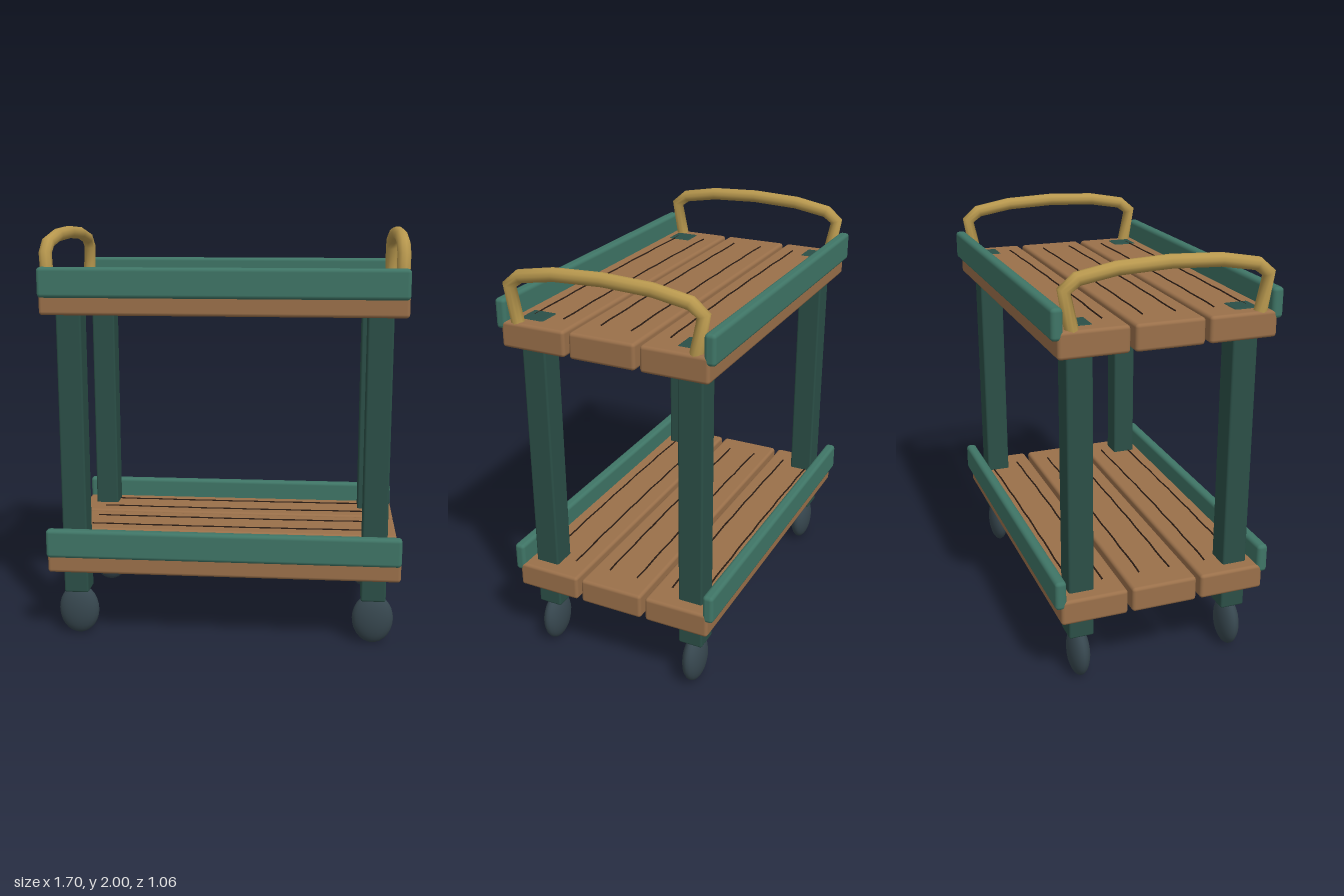
import * as THREE from 'three';
import { RoundedBoxGeometry } from 'three/addons/geometries/RoundedBoxGeometry.js';

const paint = (color) => new THREE.MeshStandardMaterial({ color });
const WOOD = paint(0x9a704a), GRAIN = paint(0x2a1c14), POST = paint(0x2b4f47);
const RAIL = paint(0x3f7566), BRASS = paint(0xb8984e), RUBBER = paint(0x37474f);

function add(parent, name, geometry, material, x = 0, y = 0, z = 0) {
  const mesh = new THREE.Mesh(geometry, material);
  mesh.name = name;
  mesh.position.set(x, y, z);
  parent.add(mesh);
  return mesh;
}

// Tube whose rings sit exactly on the given points
function tubeThrough(points, radius, sides) {
  const curve = new THREE.CatmullRomCurve3(points);
  curve.getPointAt = (t, target) => curve.getPoint(t, target);
  curve.getTangentAt = (t, target) => curve.getTangent(t, target);
  return new THREE.TubeGeometry(curve, points.length - 1, radius, sides);
}

// Thin, slightly wavering wood grain line along x
function grainLine(z, bow) {
  const points = [];
  for (let i = 0; i <= 16; i++) {
    const t = i / 8 - 1;
    const wave = bow * (1 - t * t) + 0.002 * Math.sin(i * 2.1 + z * 20);
    points.push(new THREE.Vector3(t * 0.72, 0, z + wave));
  }
  return tubeThrough(points, 0.0045, 5);
}

// One deck: three planks, their grain and two side rails
function makeShelf(name, bottom) {
  const shelf = new THREE.Group();
  shelf.name = name;
  shelf.position.y = bottom;
  for (const z of [-0.342, 0, 0.342]) {
    add(shelf, 'plank', new RoundedBoxGeometry(1.7, 0.122, 0.32, 2, 0.016), WOOD, 0, 0.061, z);
  }
  for (const side of [-1, 1]) {
    for (const [z, bow] of [[0.075, 0.007], [0.262, 0.01], [0.412, 0.008]]) {
      add(shelf, 'grainLine', grainLine(side * z, side > 0 ? bow : bow * 0.9), GRAIN, 0, 0.123, 0);
    }
    add(shelf, 'sideRail', new RoundedBoxGeometry(1.7, 0.14, 0.053, 2, 0.018), RAIL, 0, 0.152, side * 0.502);
  }
  return shelf;
}

// Arched handle across one end
function makeHandle(x) {
  const half = [[0.428, 1.7], [0.463, 1.885], [0.406, 1.93], [0.235, 1.96]];
  const profile = [...half, [0, 1.97], ...half.map(([z, y]) => [-z, y]).reverse()];
  const points = profile.map(([z, y]) => new THREE.Vector3(x, y, z));
  return tubeThrough(points, 0.031, 10);
}

export function createModel() {
  const cart = new THREE.Group();
  cart.name = 'servingCart';
  cart.add(makeShelf('lowerShelf', 0.352), makeShelf('upperShelf', 1.602));

  for (const x of [-0.725, 0.725]) {
    for (const z of [-0.386, 0.386]) {
      // Square post running through both decks
      add(cart, 'post', new RoundedBoxGeometry(0.12, 1.496, 0.12, 2, 0.01), POST, x, 0.98, z);
      // Tall oval wheel
      const wheel = add(cart, 'wheel', new THREE.SphereGeometry(1, 20, 14), RUBBER, x * 1.002, 0.128, z);
      wheel.scale.set(0.1, 0.124, 0.05);
    }
  }
  for (const x of [-0.817, 0.817]) add(cart, 'handle', makeHandle(x), BRASS);
  return cart;
}
